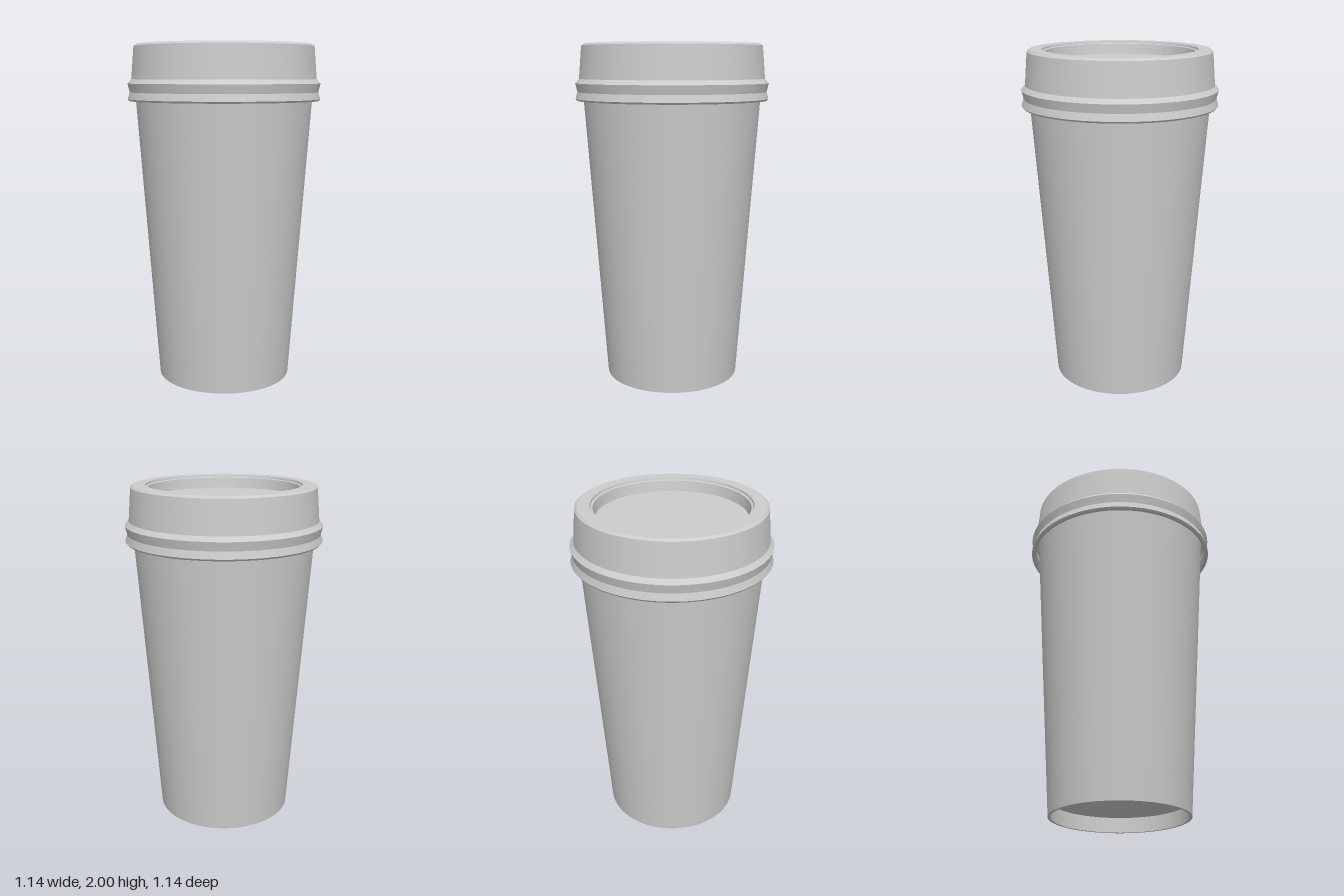
import * as THREE from 'three';
import { mergeGeometries } from 'three/addons/utils/BufferGeometryUtils.js';

// Revolve a [radius, height] profile: smooth around the axis, sharp at each profile corner
function revolve(profile, sides = 72) {
  const bands = [];
  for (let i = 0; i < profile.length - 1; i++) {
    const pair = [profile[i], profile[i + 1]].map(([r, y]) => new THREE.Vector2(r, y));
    bands.push(new THREE.LatheGeometry(pair, sides));
  }
  return mergeGeometries(bands);
}

export function createModel() {
  const group = new THREE.Group();
  group.name = 'takeawayCup';
  const grey = new THREE.MeshStandardMaterial({ color: 0xcccccc });
  grey.name = 'light grey';

  const add = (name, profile) => {
    const mesh = new THREE.Mesh(revolve(profile), grey);
    mesh.name = name;
    group.add(mesh);
  };

  // Tapered cup with a recessed base and a thin wall
  add('cup', [
    [0, 0.09], [0.39, 0.09], [0.385, 0], [0.4, 0],   // underside and foot ring
    [0.528, 1.79], [0.515, 1.79],                    // outer wall and lip
    [0.393, 0.105], [0, 0.105],                      // inner wall and floor
  ]);

  // Snap-on lid with a ribbed skirt and a sunken top
  add('lid', [
    [0.545, 1.675], [0.56, 1.675], [0.568, 1.685],   // skirt edge
    [0.556, 1.725], [0.568, 1.775], [0.545, 1.8],    // two ribs
    [0.529, 1.988], [0.516, 2], [0.445, 2],          // collar and rim
    [0.442, 1.988], [0.43, 1.985], [0.421, 1.925], [0, 1.925], // sunken top
    [0, 1.912], [0.43, 1.912], [0.445, 1.975], [0.513, 1.98],  // inner skin
    [0.53, 1.8], [0.552, 1.775], [0.541, 1.725], [0.552, 1.69], [0.545, 1.675],
  ]);

  return group;
}
